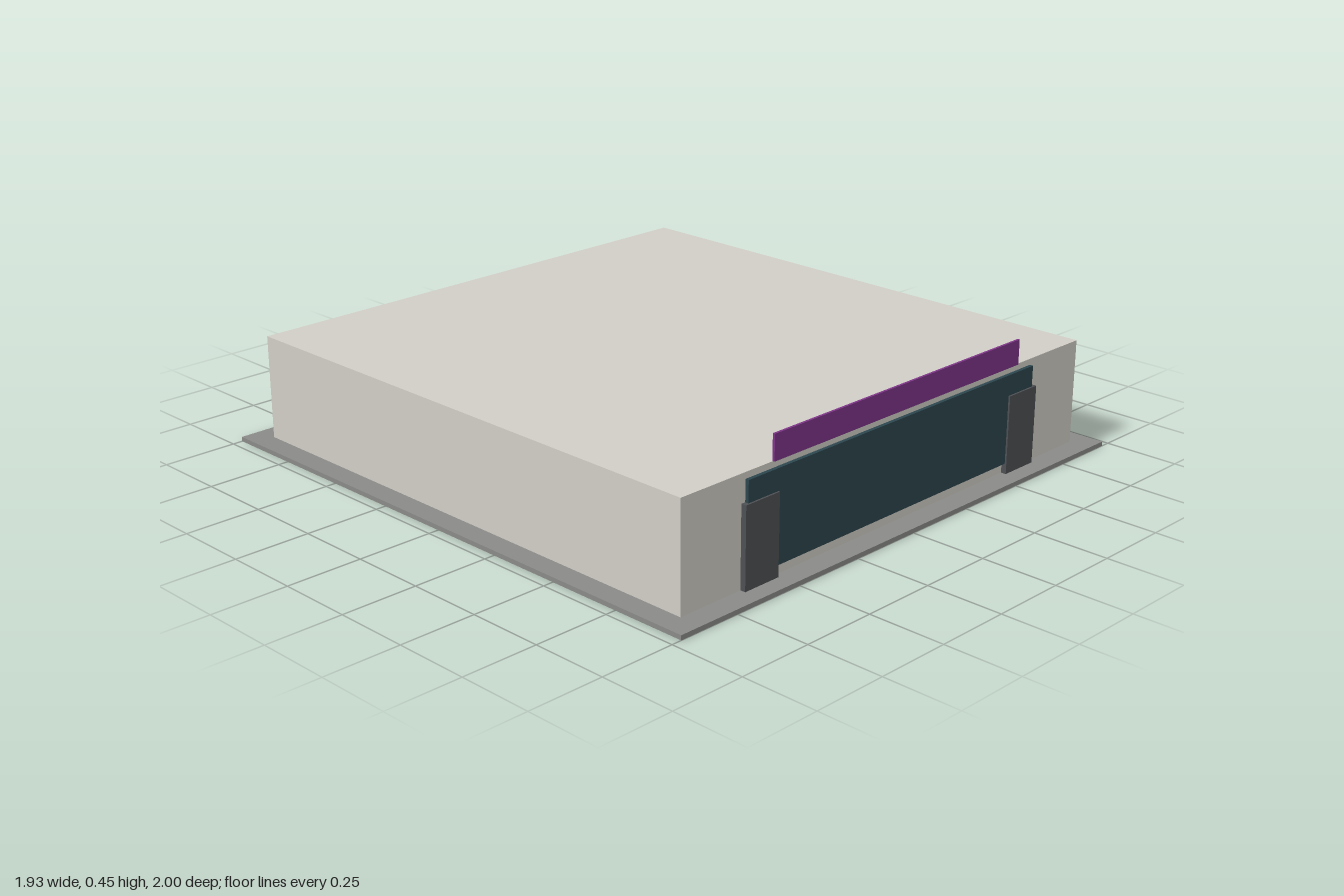
import * as THREE from 'three';

// Box given by its extents along x, y and z
function block(name, color, [x0, x1], [y0, y1], [z0, z1]) {
  const mesh = new THREE.Mesh(
    new THREE.BoxGeometry(x1 - x0, y1 - y0, z1 - z0),
    new THREE.MeshStandardMaterial({ color })
  );
  mesh.position.set((x0 + x1) / 2, (y0 + y1) / 2, (z0 + z1) / 2);
  mesh.name = name;
  return mesh;
}

export function createModel() {
  const model = new THREE.Group();
  model.name = 'storeBuilding';

  // Paved slab and the plain building volume
  model.add(block('groundSlab', 0x8a8a88, [-0.966, 0.966], [0, 0.015], [-1, 1]));
  model.add(block('buildingBody', 0xd0cec6, [-0.893, 0.893], [0.015, 0.36], [-0.925, 0.925]));

  // Shop front: dark glazing with a pillar at each end
  model.add(block('frontGlazing', 0x2c464e, [-0.645, 0.645], [0.048, 0.34], [0.925, 0.937]));
  model.add(block('leftPillar', 0x4e5054, [0.525, 0.66], [0.015, 0.272], [0.925, 0.943]));
  model.add(block('rightPillar', 0x4e5054, [-0.66, -0.525], [0.015, 0.272], [0.925, 0.943]));

  // Sign band above the roof edge
  model.add(block('signBand', 0x7d3487, [-0.553, 0.553], [0.369, 0.45], [0.938, 0.946]));

  return model;
}
